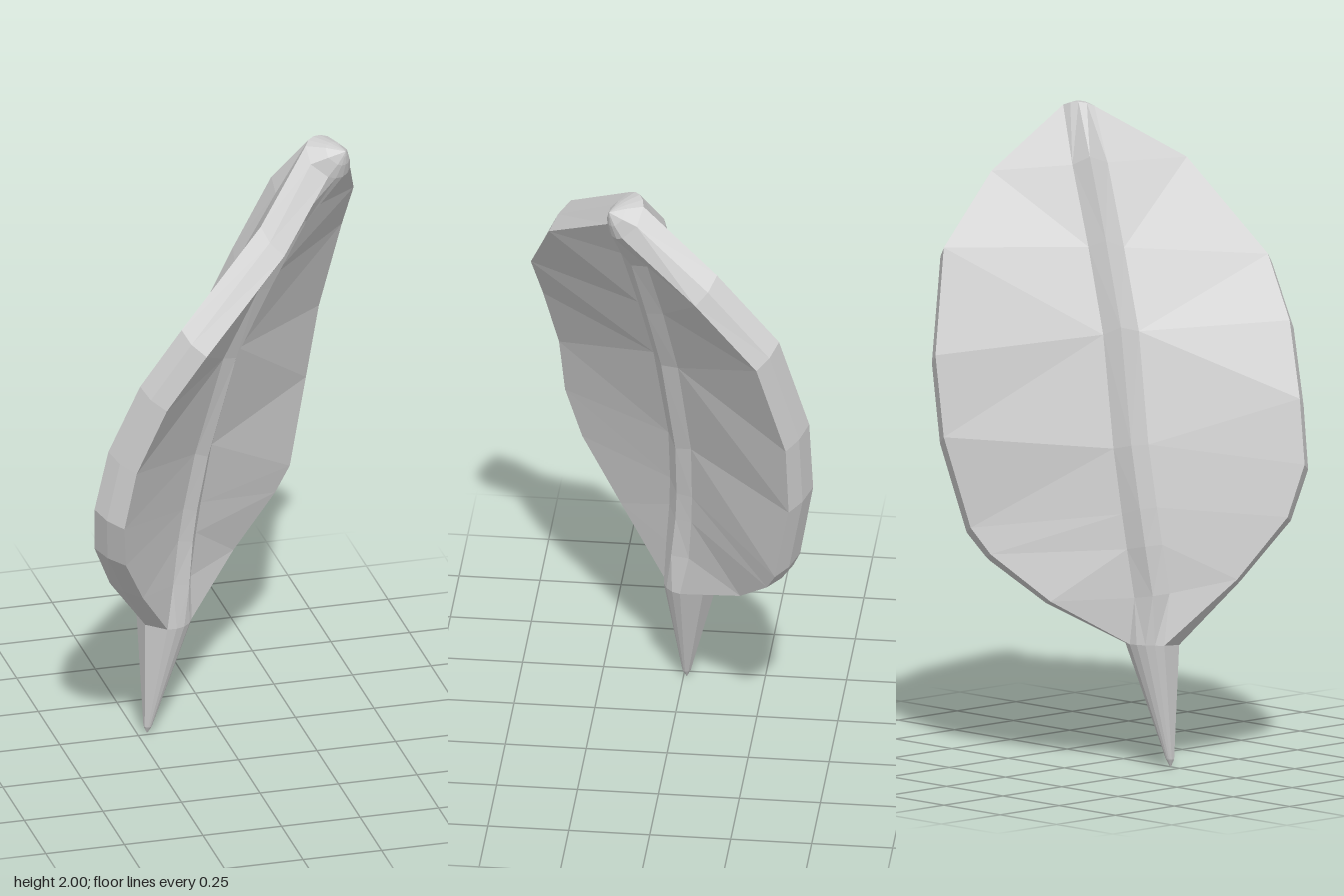
import * as THREE from 'three';

const V = (p) => new THREE.Vector3(...p);

// Front face stations from stem to tip: left edge, midrib crest, right edge
const STATIONS = [
  [[-0.29, 0.56, 0.20], [-0.095, 0.50, 0.025], [0.11, 0.49, -0.21]],
  [[-0.38, 0.74, 0.33], [-0.08, 0.64, 0.01], [0.27, 0.62, -0.31]],
  [[-0.40, 0.89, 0.385], [-0.065, 0.74, 0.005], [0.325, 0.69, -0.34]],
  [[-0.365, 1.08, 0.40], [-0.03, 0.92, 0.005], [0.39, 0.96, -0.39]],
  [[-0.28, 1.30, 0.44], [0.05, 1.26, 0.04], [0.43, 1.20, -0.385]],
  [[-0.16, 1.48, 0.465], [0.15, 1.50, 0.075], [0.48, 1.51, -0.30]],
  [[0.11, 1.75, 0.38], [0.255, 1.73, 0.11], [0.465, 1.72, -0.11]],
];
const WIDTH = V([0.85, 0, -0.53]);
const THICK_LOW = V([-0.085, 0.028, -0.075]);
const THICK_HIGH = V([-0.058, 0.08, -0.061]);

// Closed cross-section: front left to right, right rim, back right to left, left rim
function section([l, m, r], i) {
  const [L, M, R] = [V(l), V(m), V(r)];
  const t = THICK_LOW.clone().lerp(THICK_HIGH, i / (STATIONS.length - 1));
  const shoulder = (edge) => M.clone().lerp(edge, Math.min(0.5, 0.055 / M.distanceTo(edge)));
  const at = (p, k) => p.clone().addScaledVector(t, k);
  const rim = (p, out) => at(p, 0.5).addScaledVector(WIDTH, out);
  const [sl, sr] = [shoulder(L), shoulder(R)];
  return [
    L, at(sl, 0.2), M, at(sr, 0.2), R, rim(R, 0.012),
    at(R, 1), at(sr, 1.15), at(M, 1.5), at(sl, 1.15), at(L, 1), rim(L, -0.012),
  ];
}

// Round ring whose points line up with those of a blade section
const ANGLES = [130, 110, 90, 70, 50, 0, -50, -70, -90, -110, -130, 180];
function roundRing(center, radius, front) {
  const f = V(front).normalize();
  return ANGLES.map((deg) => {
    const a = THREE.MathUtils.degToRad(deg);
    return V(center)
      .addScaledVector(WIDTH, radius * Math.cos(a))
      .addScaledVector(f, radius * Math.sin(a));
  });
}

// Skin between successive rings, split along the shorter diagonal
function loft(name, rings, material) {
  const pos = [];
  const tri = (a, b, c) => {
    if (a.equals(b) || b.equals(c) || c.equals(a)) return;
    [a, b, c].forEach((p) => pos.push(p.x, p.y, p.z));
  };
  for (let i = 0; i < rings.length - 1; i++) {
    rings[i].forEach((a, j) => {
      const k = (j + 1) % ANGLES.length;
      const b = rings[i][k], c = rings[i + 1][k], d = rings[i + 1][j];
      if (a.distanceTo(c) < b.distanceTo(d)) {
        tri(a, b, c);
        tri(a, c, d);
      } else {
        tri(a, b, d);
        tri(b, c, d);
      }
    });
  }
  const geometry = new THREE.BufferGeometry();
  geometry.setAttribute('position', new THREE.Float32BufferAttribute(pos, 3));
  geometry.computeVertexNormals();
  const mesh = new THREE.Mesh(geometry, material);
  mesh.name = name;
  return mesh;
}

export function createModel() {
  const group = new THREE.Group();
  group.name = 'leaf';
  const material = new THREE.MeshStandardMaterial({ color: 0xcccccc, flatShading: true });

  // Thick blade with a raised midrib, closing to a round neck at each end
  const stemFront = [0.53, -0.1, 0.85];
  const tipFront = [0.47, -0.72, 0.51];
  const neck = roundRing([-0.16, 0.38, -0.03], 0.085, stemFront);
  const crown = roundRing([0.32, 1.945, 0.12], 0.077, tipFront);
  group.add(loft('blade', [neck, ...STATIONS.map(section), crown], material));

  // Stem tapering down to a blunt point
  group.add(loft('stem', [
    roundRing([-0.22, 0, -0.01], 0, stemFront),
    roundRing([-0.218, 0.025, -0.01], 0.013, stemFront),
    neck,
  ], material));

  // Rounded tip ending in a small nub
  group.add(loft('tip', [
    crown,
    roundRing([0.344, 1.964, 0.146], 0.042, tipFront),
    roundRing([0.357, 1.973, 0.16], 0.016, tipFront),
    roundRing([0.364, 1.978, 0.167], 0, tipFront),
  ], material));

  return group;
}
